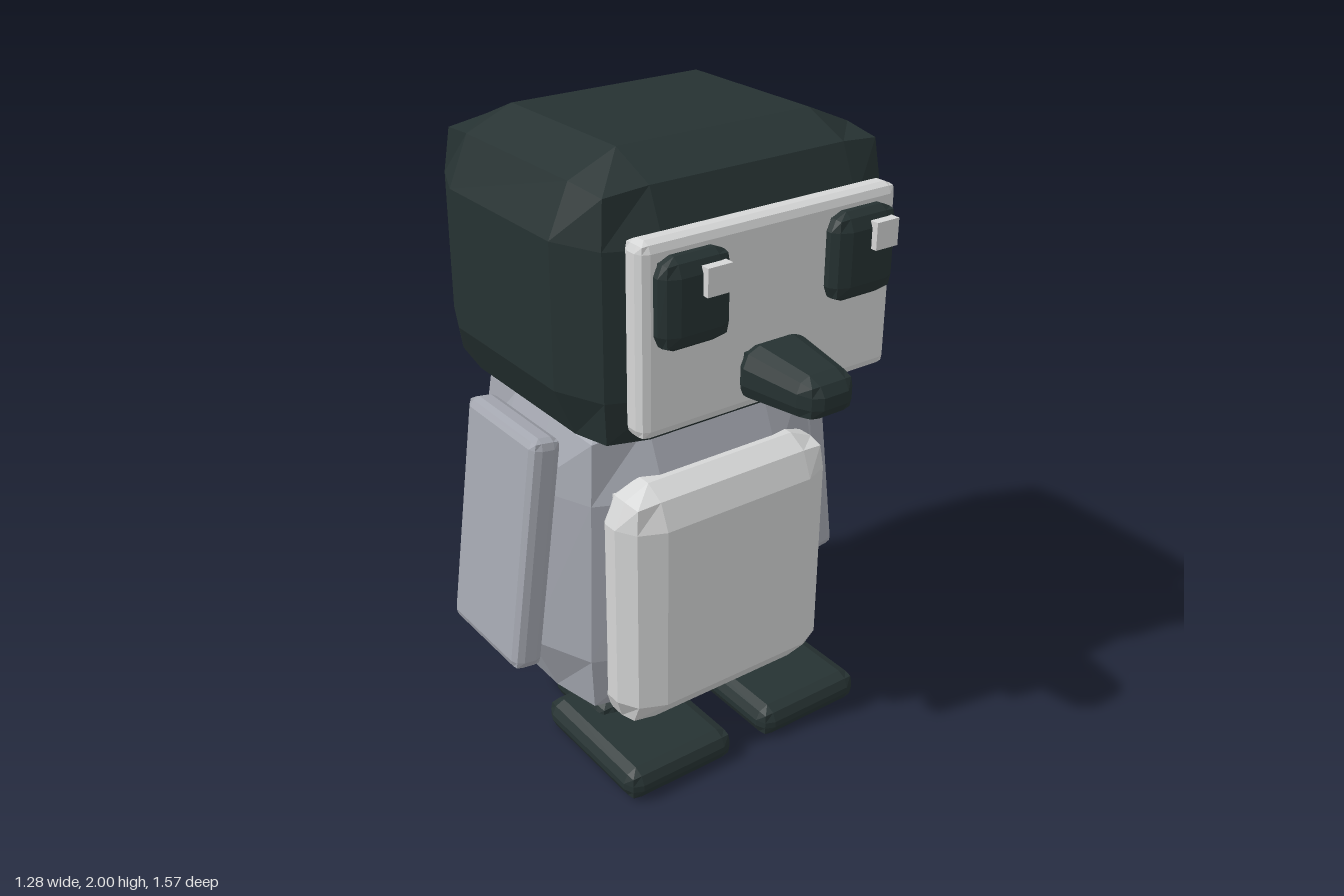
import * as THREE from 'three';

const mat = (name, color) => {
  const m = new THREE.MeshStandardMaterial({ color });
  m.name = name;
  return m;
};

// Box with one-step rounded edges: three segments per side, edges and corners pulled in.
// The optional rule moves each vertex afterwards.
function softBox(w, h, d, r, rule) {
  const box = new THREE.BoxGeometry(1, 1, 1, 3, 3, 3);
  const p = box.attributes.position;
  const size = [w, h, d];
  const v = new THREE.Vector3();
  for (let i = 0; i < p.count; i++) {
    v.fromBufferAttribute(p, i);
    const c = v.toArray();
    const outer = c.filter((a) => Math.abs(a) > 0.4).length;
    const pull = [0, 0, 0.3, 0.37][outer] * r;
    v.fromArray(c.map((a, k) =>
      Math.sign(a) * (size[k] / 2 - (Math.abs(a) > 0.4 ? pull : Math.min(r, size[k] * 0.4)))));
    if (rule) rule(v);
    p.setXYZ(i, v.x, v.y, v.z);
  }
  const flat = box.toNonIndexed();
  flat.computeVertexNormals();
  return flat;
}

export function createModel() {
  const dark = mat('dark green black', 0x263232);
  const grey = mat('blue grey', 0xa4a7b0);
  const pale = mat('pale grey', 0xd5d6d6);

  const model = new THREE.Group();
  model.name = 'penguin';

  const add = (name, geometry, material, x, y, z) => {
    const mesh = new THREE.Mesh(geometry, material);
    mesh.name = name;
    mesh.position.set(x, y, z);
    model.add(mesh);
    return mesh;
  };

  // Head and body
  add('head', softBox(1.09, 0.86, 0.96, 0.215), dark, 0, 1.57, -0.015);
  add('body', softBox(1.04, 1.15, 0.8, 0.3, (v) => {
    if (v.y > 0.2) v.x *= 0.97;
  }), grey, 0, 0.655, -0.087);

  // Belly patch, its lower edge tucked back under the body
  add('belly', softBox(0.78, 0.86, 0.25, 0.12, (v) => {
    if (v.y < -0.35) v.z -= 0.03;
  }), pale, 0, 0.57, 0.278);

  // Face plate
  add('facePlate', softBox(0.88, 0.56, 0.09, 0.03), pale, 0, 1.55, 0.472);

  // Tapered beak
  add('beak', softBox(0.25, 0.175, 0.31, 0.06, (v) => {
    const t = (v.z + 0.155) / 0.31;
    v.x *= 1 - 0.36 * t;
    v.y = v.y * (1 - 0.35 * t) - 0.005 * t;
  }), dark, 0, 1.387, 0.63);

  // Tail in two steps, sloping down
  add('tailBase', softBox(0.47, 0.12, 0.32, 0.05), grey, 0, 0.247, -0.495).rotation.x = -0.36;
  add('tailTip', softBox(0.3, 0.1, 0.22, 0.045), grey, 0, 0.158, -0.68).rotation.x = -0.45;

  for (const s of [-1, 1]) {
    const side = s > 0 ? 'left' : 'right';
    // Wings lean outwards
    add(side + 'Wing', softBox(0.1, 0.77, 0.4, 0.03), grey, s * 0.545, 0.75, -0.07).rotation.z = s * 0.135;
    // Eyes, with both glints on the same side
    add(side + 'Eye', softBox(0.23, 0.26, 0.09, 0.05), dark, s * 0.29, 1.66, 0.53);
    add(side + 'EyeGlint', new THREE.BoxGeometry(0.08, 0.08, 0.04), pale, s * 0.29 + 0.043, 1.72, 0.575);
    // Feet and heels
    add(side + 'Foot', softBox(0.4, 0.105, 0.5, 0.045), dark, s * 0.26, 0.055, 0.23);
    add(side + 'Heel', softBox(0.22, 0.12, 0.32, 0.05), dark, s * 0.26, 0.08, 0.025);
  }

  return model;
}
